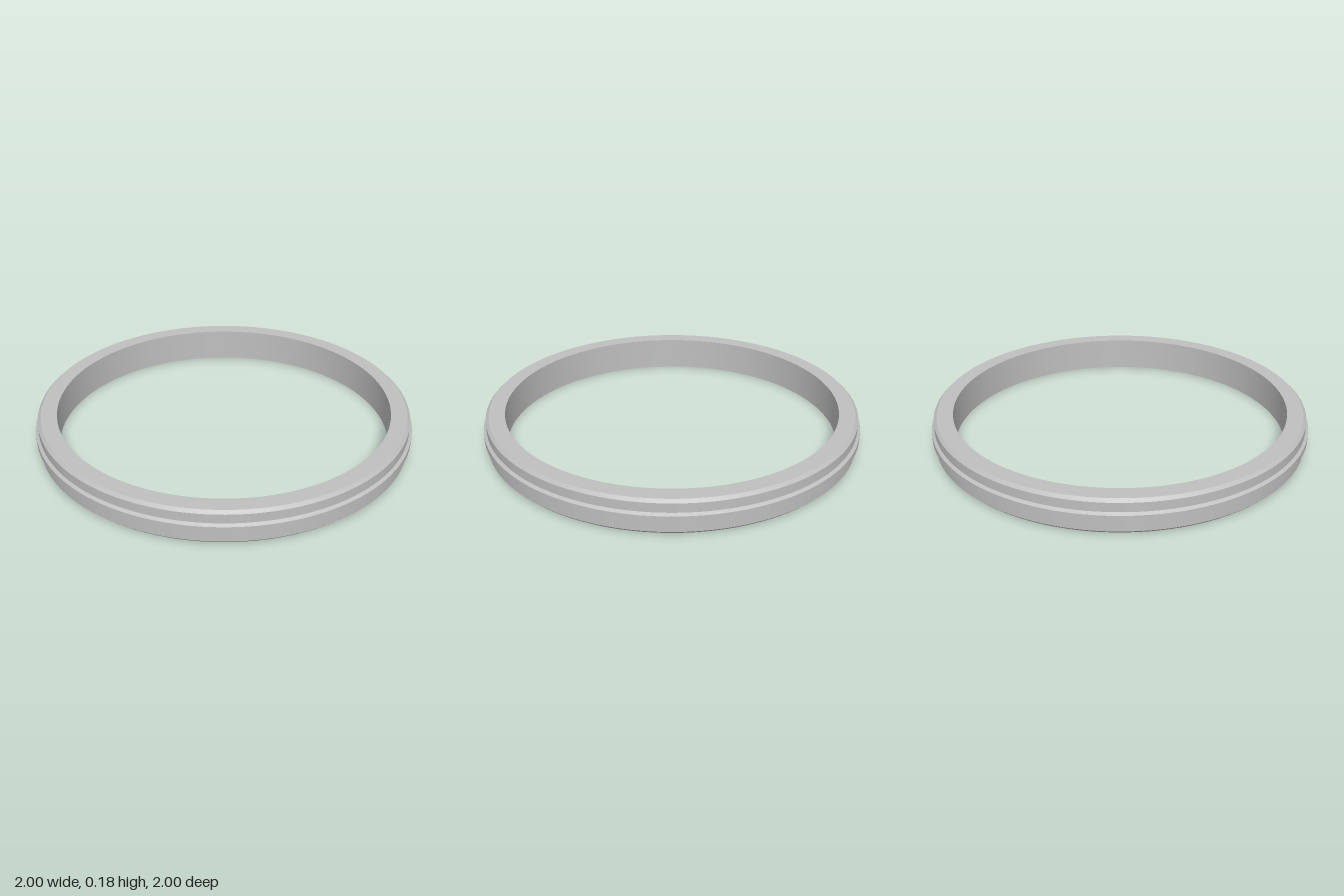
import * as THREE from 'three';
import { toCreasedNormals } from 'three/addons/utils/BufferGeometryUtils.js';

export function createModel() {
  const model = new THREE.Group();
  model.name = 'ring';

  const metal = new THREE.MeshStandardMaterial({ color: 0xbfbfbf });
  metal.name = 'grey metal';

  const height = 0.18, inner = 0.885, outer = 0.985, rim = 1, bevel = 0.015;
  const mid = height / 2;

  // Closed cross-section: [radius, height], running outwards, up, in and back down
  const profile = [
    [inner, 0],
    [outer - bevel, 0],
    [outer, bevel],               // lower bevel
    [outer, mid - 0.027],
    [rim, mid - 0.017],           // raised central ridge
    [rim, mid + 0.017],
    [outer, mid + 0.027],
    [outer, height - bevel],
    [outer - bevel, height],      // upper bevel
    [inner, height],
    [inner, 0],                   // smooth bore
  ].map(([r, y]) => new THREE.Vector2(r, y));

  // Smooth around the ring, sharp along the profile edges
  const geometry = toCreasedNormals(new THREE.LatheGeometry(profile, 128), 0.4);
  const band = new THREE.Mesh(geometry, metal);
  band.name = 'ridgedBand';
  model.add(band);

  return model;
}
